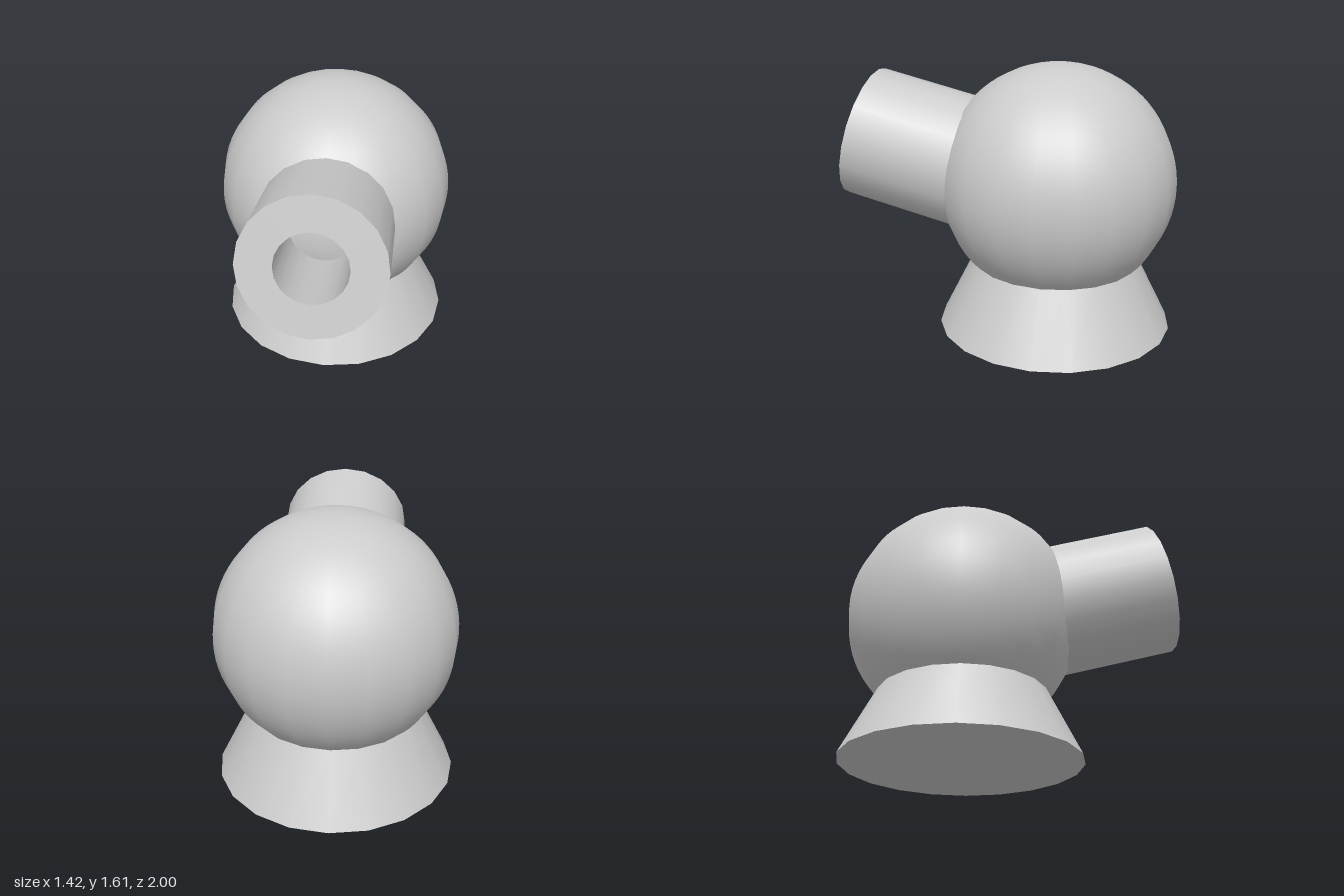
import * as THREE from 'three';

const SIDES = 20;

export function createModel() {
  const model = new THREE.Group();
  const grey = new THREE.MeshStandardMaterial({ color: 0xcccccc });
  const greyInside = new THREE.MeshStandardMaterial({ color: 0xcccccc, side: THREE.BackSide });

  const add = (parent, name, geometry, material = grey) => {
    const mesh = new THREE.Mesh(geometry, material);
    mesh.name = name;
    parent.add(mesh);
    return mesh;
  };

  // Flared base, its rim meeting the ball
  const baseHeight = 0.41;
  add(model, 'base', new THREE.CylinderGeometry(0.505, 0.71, baseHeight, SIDES))
    .position.set(0, baseHeight / 2, -0.29);

  // Ball body
  add(model, 'ball', new THREE.SphereGeometry(0.705, SIDES, 40))
    .position.set(0, 0.9, -0.295);

  // Tilted barrel: its local +z runs out through the mouth
  const barrel = new THREE.Group();
  barrel.name = 'barrel';
  barrel.position.set(0, 1.135, 0.905);
  barrel.rotation.x = -0.239;
  model.add(barrel);

  // Open tube wall running back from the mouth into the ball
  const length = 0.75;
  const wall = (radius) => new THREE.CylinderGeometry(radius, radius, length, SIDES, 1, true)
    .rotateX(Math.PI / 2)
    .translate(0, 0, -length / 2);

  add(barrel, 'barrelOuterWall', wall(0.4));
  add(barrel, 'barrelBore', wall(0.2), greyInside);
  add(barrel, 'barrelMouth', new THREE.RingGeometry(0.2, 0.4, SIDES));

  return model;
}
